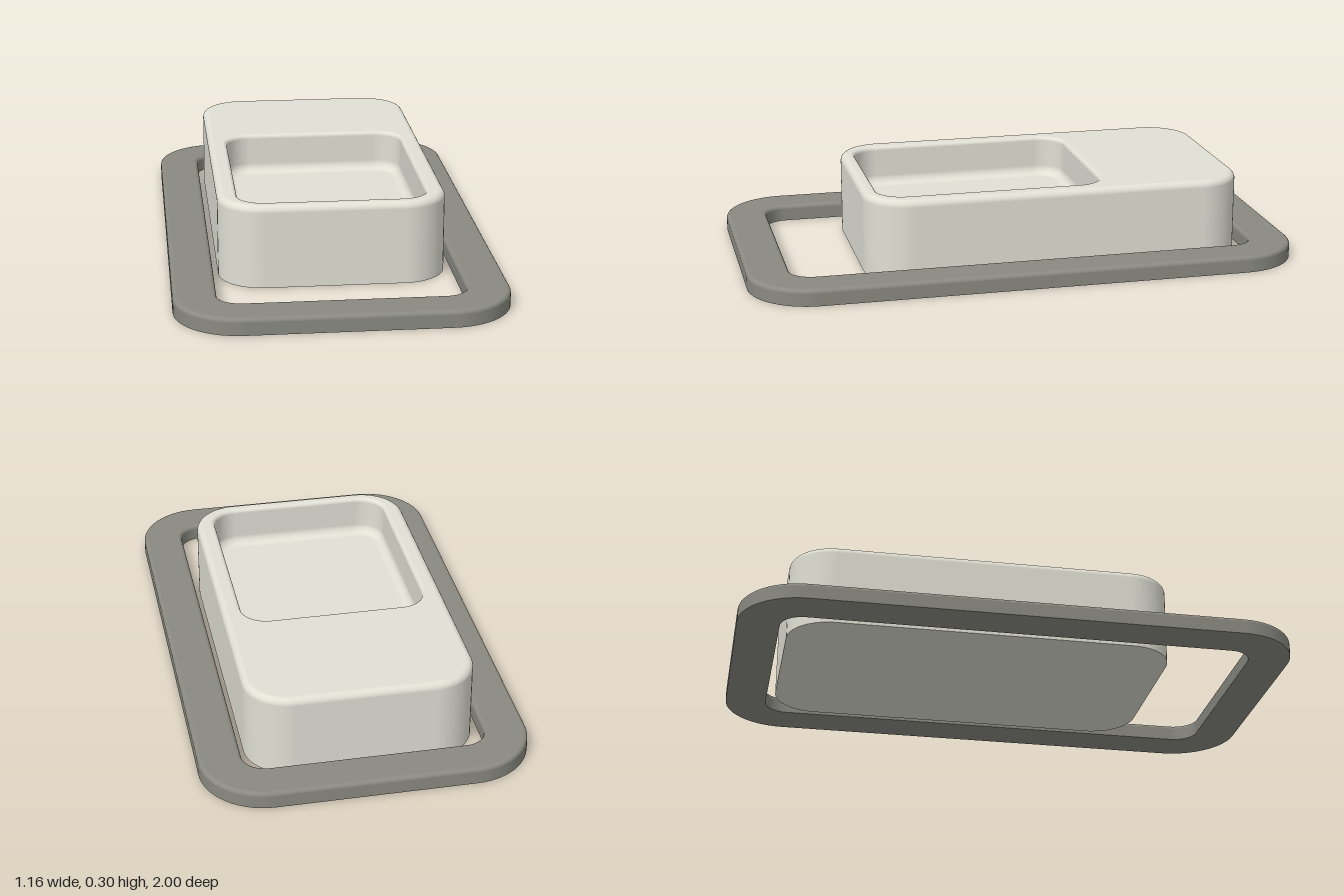
import * as THREE from 'three';

const CORNER = 14; // segments per rounded corner
const FILLET = 8;  // segments per edge rounding
const UP = Math.PI / 2;

// Points of a rounded rectangle grown outward by o, with outward directions
function ring(rect, o) {
  const r = Math.max(rect.r + o, 0), pts = [];
  const cx = rect.w + o - r, cz = rect.d + o - r;
  for (let k = 0; k < 4; k++) {
    const sx = k === 0 || k === 3 ? 1 : -1, sz = k < 2 ? 1 : -1;
    for (let i = 0; i <= CORNER; i++) {
      const t = (k + i / CORNER) * UP, c = Math.cos(t), s = Math.sin(t);
      pts.push({ x: sx * cx + r * c, z: rect.z + sz * cz + r * s, c, s });
    }
  }
  return pts;
}

// Skin successive rings { rect, o, y, a }; a is the tilt of the surface normal
function loft(rings) {
  const pos = [], nor = [], idx = [], n = 4 * (CORNER + 1);
  rings.forEach(({ rect, o, y, a }, i) => {
    for (const p of ring(rect, o)) {
      pos.push(p.x, y, p.z);
      nor.push(p.c * Math.cos(a), Math.sin(a), p.s * Math.cos(a));
    }
    const prev = rings[i - 1];
    // a repeated ring marks a sharp edge
    if (!prev || (prev.rect === rect && prev.o === o && prev.y === y)) return;
    for (let j = 0; j < n; j++) {
      const k = (j + 1) % n, p = (i - 1) * n, q = i * n;
      idx.push(p + j, q + j, p + k, p + k, q + j, q + k);
    }
  });
  const g = new THREE.BufferGeometry();
  g.setAttribute('position', new THREE.Float32BufferAttribute(pos, 3));
  g.setAttribute('normal', new THREE.Float32BufferAttribute(nor, 3));
  g.setIndex(idx);
  return g;
}

// Rounded edge swept from normal tilt a0 to a1; side is 1 convex, -1 concave
function fillet(rect, o, y, radius, a0, a1, side = 1) {
  return Array.from({ length: FILLET + 1 }, (_, i) => {
    const a = a0 + (a1 - a0) * i / FILLET;
    return { rect, o: o + side * radius * Math.cos(a), y: y + side * radius * Math.sin(a), a };
  });
}

function part(name, geometry, color) {
  const mesh = new THREE.Mesh(geometry, new THREE.MeshStandardMaterial({ color }));
  mesh.name = name;
  return mesh;
}

export function createModel() {
  const model = new THREE.Group();
  model.name = 'slidingLatch';

  // Flat surrounding frame with softened top edges
  const outer = { w: 0.578, d: 1, r: 0.23, z: 0 };
  const inner = { w: 0.428, d: 0.85, r: 0.085, z: 0 };
  const top = 0.06, e = 0.015;
  model.add(part('frame', loft([
    { rect: inner, o: 0, y: 0, a: -UP },
    { rect: outer, o: 0, y: 0, a: -UP },
    { rect: outer, o: 0, y: 0, a: 0 },
    ...fillet(outer, -e, top - e, e, 0, UP),
    ...fillet(inner, e, top - e, e, UP, 2 * UP),
    { rect: inner, o: 0, y: 0, a: 2 * UP },
  ]), 0x8a8a82));

  // Sliding block with a rounded finger recess
  const block = { w: 0.405, d: 0.695, r: 0.16, z: -0.125 };
  const recess = { w: 0.335, d: 0.41, r: 0.095, z: 0.108 };
  const blockCentre = { w: 0, d: 0, r: 0, z: block.z };
  const floorCentre = { w: 0, d: 0, r: 0, z: recess.z };
  const h = 0.3, floor = 0.15, f = 0.025, lip = 0.015, g = 0.035;
  model.add(part('slidingBlock', loft([
    { rect: blockCentre, o: 0, y: 0, a: -UP },
    { rect: block, o: 0, y: 0, a: -UP },
    { rect: block, o: 0, y: 0, a: 0 },
    ...fillet(block, -f, h - f, f, 0, UP),
    ...fillet(recess, lip, h - lip, lip, UP, 2 * UP),
    ...fillet(recess, -g, floor + g, g, 2 * UP, UP, -1),
    { rect: floorCentre, o: 0, y: floor, a: UP },
  ]), 0xe0e0d5));

  return model;
}
